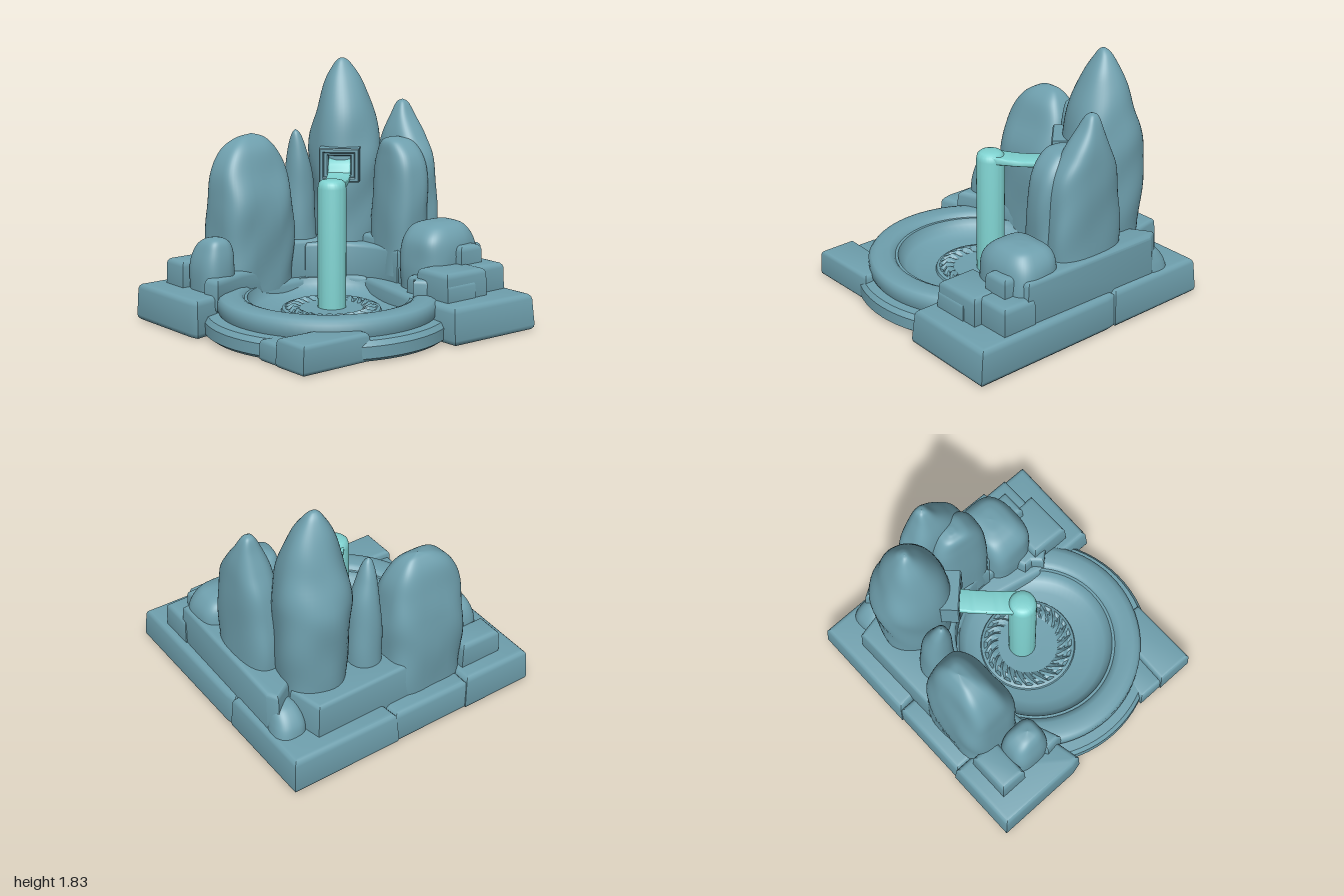
import * as THREE from 'three';
import { toCreasedNormals } from 'three/addons/utils/BufferGeometryUtils.js';

const stone = new THREE.MeshStandardMaterial({ color: 0x6fa0ae });
stone.name = 'stone';
const water = new THREE.MeshStandardMaterial({ color: 0x7fd2d0 });
water.name = 'water';

function add(parent, name, geometry, material = stone) {
  const mesh = new THREE.Mesh(geometry, material);
  mesh.name = name;
  parent.add(mesh);
  return mesh;
}

const bump = (x, y, z) =>
  Math.sin(9 * x + 4 * y + 1) * Math.sin(6 * y - 7 * z) * 0.6 + Math.sin(19 * z + 13 * y + 11 * x) * 0.4;

// Rough boulder lofted through rows of [y, radiusX, radiusZ, centreX, centreZ]
function rock(parent, name, rows, { power = 2.6, turn = 0, rough = 0.03 } = {}) {
  const rings = 44, sides = 44, pos = [], index = [];
  const size = new THREE.CatmullRomCurve3(rows.map(r => new THREE.Vector3(r[1], r[0], r[2])), false, 'catmullrom');
  const mid = new THREE.CatmullRomCurve3(rows.map(r => new THREE.Vector3(r[3], 0, r[4])), false, 'catmullrom');
  const round = v => Math.sign(v) * Math.abs(v) ** (2 / power);
  for (let i = 0; i <= rings; i++) {
    const s = size.getPoint(i / rings), c = mid.getPoint(i / rings);
    for (let j = 0; j < sides; j++) {
      const a = (j / sides) * Math.PI * 2;
      const u = Math.max(s.x, 0) * round(Math.cos(a)), v = Math.max(s.z, 0) * round(Math.sin(a));
      const x = u * Math.cos(turn) - v * Math.sin(turn), z = u * Math.sin(turn) + v * Math.cos(turn);
      const k = 1 + rough * bump(c.x + x, s.y, c.z + z) * 1.5;
      pos.push(c.x + x * k, s.y, c.z + z * k);
      if (i < rings) {
        const p = i * sides + j, q = i * sides + ((j + 1) % sides);
        index.push(p, p + sides, q, q, p + sides, q + sides);
      }
    }
  }
  const g = new THREE.BufferGeometry();
  g.setAttribute('position', new THREE.Float32BufferAttribute(pos, 3));
  g.setIndex(index);
  g.computeVertexNormals();
  return add(parent, name, g);
}

// Bevelled slab from a ground outline of [x, z] corners, slightly narrower at the top
function slab(parent, name, corners, y0, y1, bevel = 0.04, taper = 0.04) {
  const shape = new THREE.Shape(corners.map(([x, z]) => new THREE.Vector2(x, z)));
  const g = new THREE.ExtrudeGeometry(shape, {
    depth: y1 - y0 - 2 * bevel, bevelThickness: bevel, bevelSize: bevel, bevelOffset: -bevel, bevelSegments: 3,
  });
  g.rotateX(Math.PI / 2).translate(0, y1 - bevel, 0);
  const cx = corners.reduce((s, c) => s + c[0], 0) / corners.length;
  const cz = corners.reduce((s, c) => s + c[1], 0) / corners.length;
  const p = g.attributes.position;
  for (let i = 0; i < p.count; i++) {
    const k = 1 - taper * (p.getY(i) - y0) / (y1 - y0);
    p.setX(i, cx + (p.getX(i) - cx) * k);
    p.setZ(i, cz + (p.getZ(i) - cz) * k);
  }
  return add(parent, name, toCreasedNormals(g, 0.6));
}

const rect = (x0, x1, z0, z1) => [[x0, z0], [x1, z0], [x1, z1], [x0, z1]];

// Ring-shaped corners around the basin, angles measured from +x towards +z
function arc(cx, cz, r0, r1, a0, a1) {
  const pts = [], n = 14;
  for (let i = 0; i <= n; i++) pts.push([r1, a0 + (a1 - a0) * i / n]);
  for (let i = n; i >= 0; i--) pts.push([r0, a0 + (a1 - a0) * i / n]);
  return pts.map(([r, a]) => [cx + r * Math.cos(a), cz + r * Math.sin(a)]);
}

function turned(parent, name, points, x, z, material = stone, crease = 0.6) {
  const g = new THREE.LatheGeometry(points.map(([r, y]) => new THREE.Vector2(r, y)), 72);
  const mesh = add(parent, name, toCreasedNormals(g, crease), material);
  mesh.position.set(x, 0, z);
  return mesh;
}

export function createModel() {
  const model = new THREE.Group();
  model.name = 'rockFountain';

  // Paving slabs around the base
  const base = new THREE.Group();
  base.name = 'base';
  model.add(base);
  slab(base, 'backLeftSlab', [[-1, -1], [-0.2, -1], [-0.1, -0.4], [-0.45, -0.2], [-1, -0.14]], 0, 0.27);
  slab(base, 'backRightSlab', [[-0.24, -0.98], [-0.15, -1], [1, -1], [0.98, -0.25], [0.5, -0.25], [-0.2, -0.4]], 0, 0.26);
  slab(base, 'leftSlab', rect(-0.99, -0.42, -0.17, 0.47), 0, 0.25);
  slab(base, 'frontLeftSlab', [[-1, 0.44], [-0.38, 0.44], [-0.26, 0.98], [-0.34, 1], [-1, 1]], 0, 0.27);
  slab(base, 'frontRightSlab', [[0.6, 0.4], [0.87, 0.4], [0.87, 0.96], [0.58, 0.96]], 0, 0.2, 0.03);
  slab(base, 'frontRightStep', [[0.42, 0.55], [0.63, 0.55], [0.6, 0.95], [0.39, 0.95]], 0, 0.15, 0.03);

  // Round basin with its lower step
  const bx = 0.09, bz = 0.12;
  turned(base, 'lowerStep', [[0, 0.004], [0.83, 0.004], [0.865, 0.03], [0.865, 0.11], [0.84, 0.145], [0.7, 0.155]], bx - 0.01, bz);
  turned(base, 'basin', [[0.74, 0.1], [0.775, 0.17], [0.775, 0.24], [0.755, 0.265], [0.72, 0.275], [0.63, 0.275],
    [0.6, 0.265], [0.585, 0.245], [0.565, 0.245], [0.55, 0.2], [0.51, 0.16], [0.43, 0.135], [0, 0.13]], bx, bz, stone, 0.75);

  // Rippled foam ring where the water lands
  const foam = turned(base, 'foamRing', [[0.355, 0.125], [0.345, 0.15], [0.325, 0.158], [0.3, 0.152], [0.275, 0.165],
    [0.25, 0.16], [0.22, 0.148], [0.1, 0.145], [0, 0.145]], 0.06, 0.07, stone, 1.2);
  const fp = foam.geometry.attributes.position;
  for (let i = 0; i < fp.count; i++) {
    const x = fp.getX(i), z = fp.getZ(i), r = Math.hypot(x, z);
    if (r > 0.23 && r < 0.31) fp.setY(i, fp.getY(i) + 0.014 * Math.sin(Math.atan2(z, x) * 24 + r * 60));
  }
  foam.geometry.computeVertexNormals();

  // Raised stone courses behind and beside the basin
  const wall = new THREE.Group();
  wall.name = 'stoneCourses';
  model.add(wall);
  slab(wall, 'backWall', [[-0.68, -0.9], [-0.6, -0.95], [0.55, -0.93], [0.58, -0.55], [0.1, -0.47], [-0.4, -0.47]], 0.2, 0.56, 0.03);
  slab(wall, 'leftWall', [[-0.87, -0.72], [-0.6, -0.78], [-0.36, -0.4], [-0.45, -0.12], [-0.5, 0.1], [-0.86, 0.1]], 0.2, 0.52, 0.03);
  slab(wall, 'rearLedge', arc(bx, bz, 0.58, 0.76, -2.75, -1.45), 0.2, 0.5, 0.03, 0);
  slab(wall, 'rightLedge', arc(bx, bz, 0.59, 0.76, -1.5, -0.72), 0.2, 0.38, 0.03, 0);
  slab(wall, 'rightStep', rect(0.5, 0.81, -0.71, -0.33), 0.2, 0.455, 0.04);
  slab(wall, 'rightLowStep', [[0.3, -0.6], [0.82, -0.6], [0.82, -0.33], [0.4, -0.33]], 0.2, 0.38, 0.03);
  slab(wall, 'backRightStep', rect(0.48, 0.75, -0.94, -0.66), 0.2, 0.45, 0.04);
  slab(wall, 'rightCapStone', rect(0.46, 0.645, -0.82, -0.62), 0.3, 0.58, 0.04);
  slab(wall, 'frontLeftBlock', rect(-0.87, -0.66, 0.5, 0.83), 0.2, 0.455, 0.04);
  slab(wall, 'frontLeftStep', [[-0.6, 0.1], [-0.46, 0.1], [-0.4, 0.5], [-0.28, 0.8], [-0.42, 0.82], [-0.6, 0.6]], 0.15, 0.38, 0.04);
  rock(wall, 'cornerWedge', [[0.22, 0.13, 0.12, -0.66, -0.84], [0.34, 0.12, 0.11, -0.64, -0.83], [0.43, 0.08, 0.08, -0.6, -0.82], [0.47, 0, 0, -0.58, -0.81]]);

  // Standing rocks
  const rocks = new THREE.Group();
  rocks.name = 'standingRocks';
  model.add(rocks);
  rock(rocks, 'tallRock', [[0.25, 0.24, 0.22, -0.49, -0.53], [0.7, 0.26, 0.24, -0.5, -0.53], [1.05, 0.28, 0.255, -0.5, -0.52],
    [1.25, 0.255, 0.245, -0.5, -0.515], [1.45, 0.2, 0.205, -0.49, -0.51], [1.65, 0.125, 0.14, -0.5, -0.51],
    [1.77, 0.06, 0.07, -0.51, -0.505], [1.815, 0.025, 0.03, -0.51, -0.5], [1.825, 0, 0, -0.51, -0.5]], { turn: 0.25, power: 2.4 });
  rock(rocks, 'backSpire', [[0.3, 0.29, 0.15, -0.1, -0.75], [0.8, 0.29, 0.145, -0.11, -0.75], [1.1, 0.25, 0.135, -0.1, -0.755],
    [1.28, 0.165, 0.12, -0.12, -0.76], [1.42, 0.085, 0.08, -0.14, -0.765], [1.51, 0.04, 0.04, -0.15, -0.77], [1.535, 0, 0, -0.15, -0.77]], { power: 2.8 });
  rock(rocks, 'backBlock', [[0.3, 0.21, 0.16, 0.0, -0.62], [0.7, 0.22, 0.155, -0.005, -0.62], [1.0, 0.215, 0.145, -0.005, -0.63],
    [1.15, 0.18, 0.13, -0.01, -0.63], [1.25, 0.11, 0.1, -0.03, -0.62], [1.28, 0.04, 0.04, -0.04, -0.61], [1.285, 0, 0, -0.04, -0.61]], { power: 3, turn: 0.12 });
  rock(rocks, 'leftRock', [[0.2, 0.22, 0.3, -0.65, 0.25], [0.6, 0.235, 0.3, -0.65, 0.25], [0.85, 0.22, 0.29, -0.65, 0.25],
    [1.05, 0.165, 0.27, -0.66, 0.25], [1.2, 0.12, 0.2, -0.67, 0.24], [1.28, 0.06, 0.11, -0.68, 0.22], [1.31, 0, 0, -0.69, 0.2]], { power: 3.6 });
  rock(rocks, 'smallSpire', [[0.25, 0.13, 0.12, -0.6, -0.16], [0.7, 0.12, 0.115, -0.6, -0.16], [1.0, 0.105, 0.095, -0.59, -0.15],
    [1.18, 0.07, 0.06, -0.58, -0.13], [1.29, 0.03, 0.03, -0.57, -0.115], [1.325, 0, 0, -0.57, -0.11]], { power: 2.2 });
  rock(rocks, 'rightBoulder', [[0.25, 0.2, 0.25, 0.38, -0.65], [0.45, 0.205, 0.255, 0.38, -0.65], [0.6, 0.19, 0.24, 0.38, -0.65],
    [0.69, 0.15, 0.18, 0.37, -0.66], [0.725, 0.08, 0.1, 0.37, -0.67], [0.735, 0, 0, 0.37, -0.67]], { power: 3.4 });
  rock(rocks, 'frontBoulder', [[0.2, 0.155, 0.13, -0.53, 0.67], [0.42, 0.155, 0.13, -0.53, 0.67], [0.55, 0.13, 0.11, -0.52, 0.66],
    [0.62, 0.08, 0.07, -0.5, 0.66], [0.645, 0, 0, -0.49, 0.66]], { power: 3 });

  // Square spout facing the basin diagonally
  const spout = new THREE.Group();
  spout.name = 'spout';
  spout.position.set(-0.3, 0, -0.3);
  spout.rotation.y = Math.PI / 4;
  model.add(spout);
  const frame = (name, w, h, hw, hh, z, depth) => {
    const box = (a, b) => [[-a, -b], [a, -b], [a, b], [-a, b]].map(([x, y]) => new THREE.Vector2(x, y));
    const shape = new THREE.Shape(box(w / 2, h / 2));
    shape.holes.push(new THREE.Path(box(hw / 2, hh / 2).reverse()));
    const g = new THREE.ExtrudeGeometry(shape, { depth, bevelThickness: 0.008, bevelSize: 0.008, bevelOffset: -0.008, bevelSegments: 1 });
    add(spout, name, g).position.set(0, 1.078, z);
  };
  frame('outerFrame', 0.29, 0.245, 0.22, 0.175, -0.08, 0.12);
  frame('innerFrame', 0.24, 0.2, 0.16, 0.13, -0.08, 0.09);
  add(spout, 'spoutBack', new THREE.BoxGeometry(0.26, 0.22, 0.04)).position.set(0, 1.078, -0.08);

  // Stream pouring from the spout to the top of the column
  const side = new THREE.Shape();
  side.moveTo(-0.06, 0.99);
  side.lineTo(-0.06, 1.13);
  side.quadraticCurveTo(0.0, 1.12, 0.04, 1.025);
  side.quadraticCurveTo(0.2, 0.985, 0.46, 1.035);
  side.lineTo(0.46, 0.98);
  side.quadraticCurveTo(0.2, 0.955, 0.05, 0.975);
  side.closePath();
  const stream = new THREE.ExtrudeGeometry(side, { depth: 0.14, bevelThickness: 0.012, bevelSize: 0.008, bevelOffset: -0.008, bevelSegments: 2 });
  stream.rotateY(-Math.PI / 2).translate(0.07, 0, 0);
  add(spout, 'stream', toCreasedNormals(stream, 0.8), water);

  // Falling column of water
  turned(model, 'waterColumn', [[0.1, 0.13], [0.1, 0.99], [0.093, 1.025], [0.075, 1.043], [0.045, 1.05], [0, 1.052]], 0.03, 0.04, water, 1);
  return model;
}
